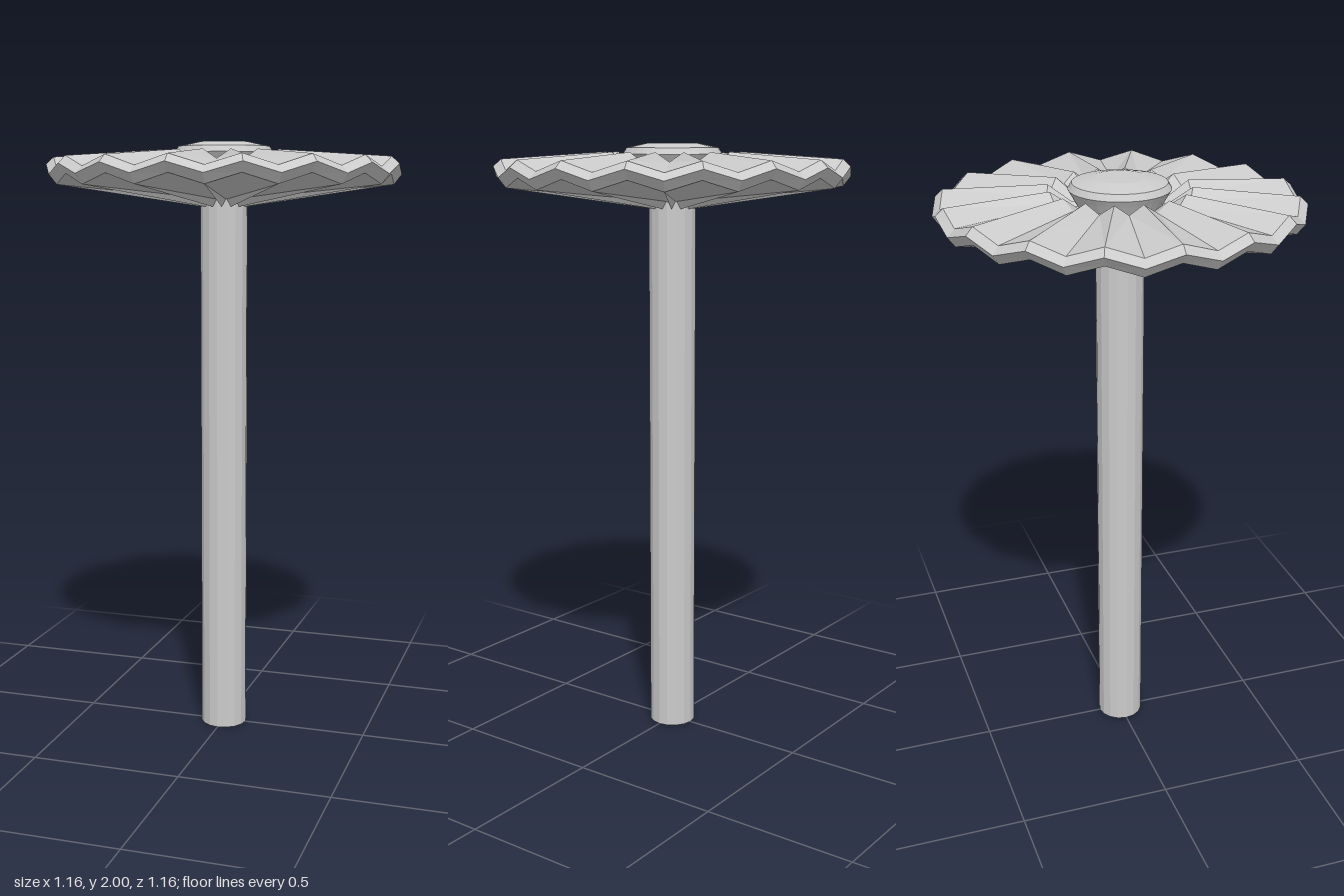
import * as THREE from 'three';

const SIDES = 32;

// Pleated ring surface: each ring is [radius, ridge height, valley height]
function pleatedGeometry(rings) {
  const pos = [], index = [];
  for (const [r, ridge, valley] of rings) {
    for (let i = 0; i < SIDES; i++) {
      const a = (i / SIDES) * Math.PI * 2;
      pos.push(r * Math.cos(a), i % 2 ? valley : ridge, r * Math.sin(a));
    }
  }
  for (let k = 0; k < rings.length - 1; k++) {
    for (let i = 0; i < SIDES; i++) {
      const j = (i + 1) % SIDES;
      const a = k * SIDES + i, b = k * SIDES + j, c = a + SIDES, d = b + SIDES;
      // Split the quads symmetrically about each ridge
      if (i % 2) index.push(a, c, b, b, c, d);
      else index.push(a, d, b, a, c, d);
    }
  }
  const g = new THREE.BufferGeometry();
  g.setAttribute('position', new THREE.Float32BufferAttribute(pos, 3));
  g.setIndex(index);
  return g;
}

export function createModel() {
  const group = new THREE.Group();
  const flat = new THREE.MeshStandardMaterial({ color: 0xcccccc, flatShading: true });
  const add = (name, geometry) => {
    const mesh = new THREE.Mesh(geometry, flat);
    mesh.name = name;
    group.add(mesh);
    return mesh;
  };

  // Straight stem
  add('stem', new THREE.CylinderGeometry(0.078, 0.078, 1.84, 16)).position.y = 0.92;

  // Pleated disc: underside, bevelled rim, top, and the well around the cap
  add('pleatedDisc', pleatedGeometry([
    [0.07, 1.815, 1.79],
    [0.555, 1.895, 1.862],
    [0.58, 1.927, 1.894],
    [0.555, 1.95, 1.917],
    [0.225, 1.972, 1.942],
    [0.15, 1.92, 1.9],
    [0.07, 1.91, 1.9],
  ]));

  // Low domed cap in the centre
  const profile = [
    [0.12, 1.89], [0.15, 1.945], [0.162, 1.965], [0.15, 1.985], [0.08, 2], [0, 2],
  ].map(([r, y]) => new THREE.Vector2(r, y));
  add('centreCap', new THREE.LatheGeometry(profile, SIDES));

  return group;
}
